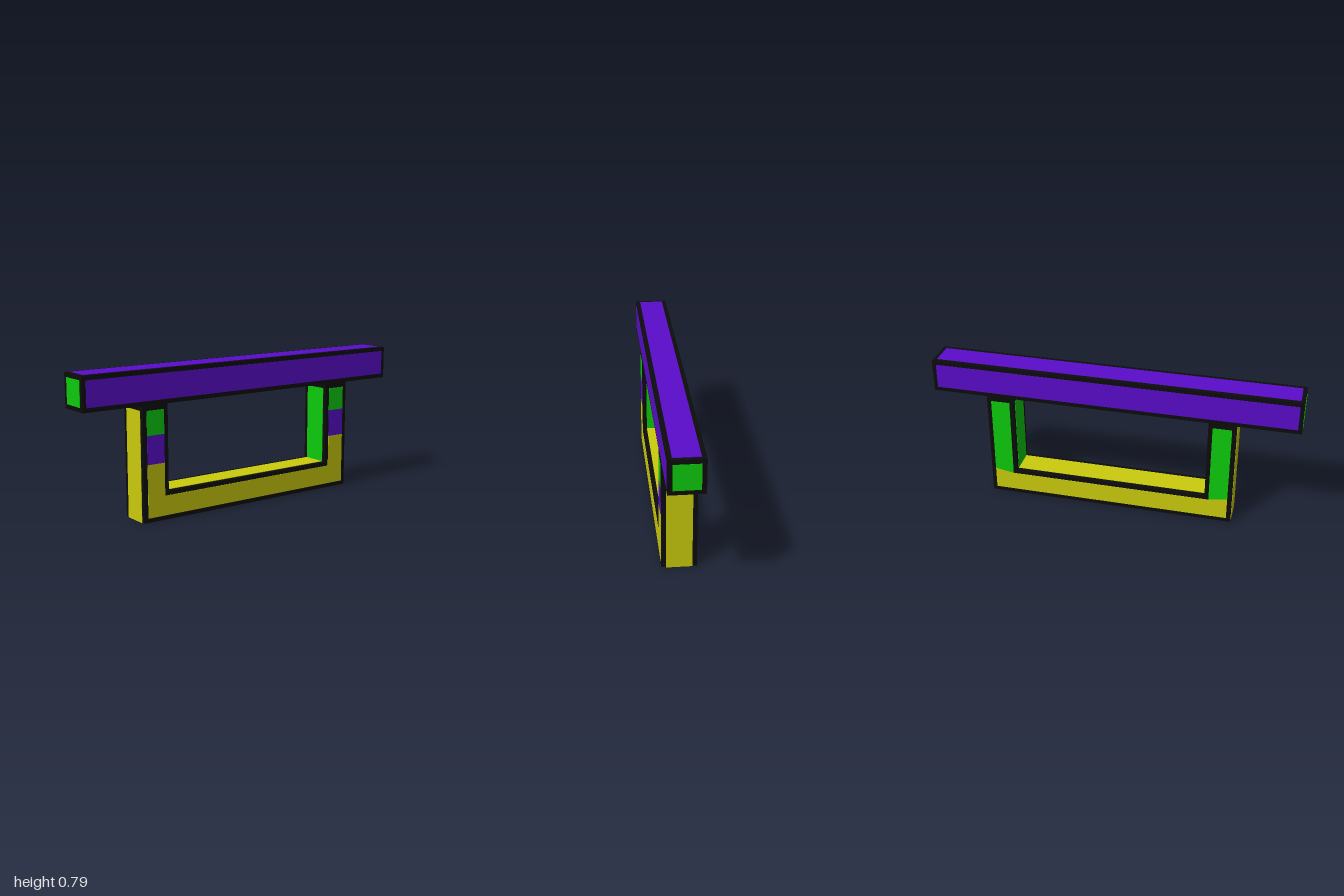
import * as THREE from 'three';

const material = (name, color) => new THREE.MeshStandardMaterial({ name, color });

export function createModel() {
  const purple = material('purple', 0x5a0ccb);
  const green = material('green', 0x0dcb0d);
  const yellow = material('yellow', 0xcbcb0d);
  const black = material('black', 0x0c0c0c);

  const W = 0.09;       // half width of every bar
  const B = 0.023;      // width of the black edging
  const I = W - B;      // half width of a painted panel
  const T = 0.002;      // thickness of the painted plates
  const y0 = 0.61, y1 = 0.79;                 // beam height range
  const zF = 0.667, zFi = 0.519;              // front leg, outer and inner
  const zR = -0.697, zRi = -0.547;            // rear leg, outer and inner
  const floor = 0.153;                        // top of the lower bar

  const model = new THREE.Group();
  model.name = 'beamOnFrame';
  let group;
  const part = (name) => {
    group = new THREE.Group();
    group.name = name;
    model.add(group);
  };
  const add = (name, geometry, mat) => {
    const mesh = new THREE.Mesh(geometry, mat);
    mesh.name = name;
    group.add(mesh);
  };

  // Box given by its extents
  const box = (name, mat, xa, xb, ya, yb, za, zb) => {
    const g = new THREE.BoxGeometry(xb - xa, yb - ya, zb - za);
    g.translate((xa + xb) / 2, (ya + yb) / 2, (za + zb) / 2);
    add(name, g, mat);
  };

  // Outline in (z, y), extruded along x from xTop towards -x
  const profile = (name, mat, points, xTop, depth) => {
    const shape = new THREE.Shape(points.map(([z, y]) => new THREE.Vector2(z, y)));
    const g = new THREE.ExtrudeGeometry(shape, { depth, bevelEnabled: false });
    g.rotateY(-Math.PI / 2);
    g.translate(xTop, 0, 0);
    add(name, g, mat);
  };
  const rightPlate = (name, mat, points) => profile(name, mat, points, W + T, T);
  const leftPlate = (name, mat, points) => profile(name, mat, points, -W, T);

  // Long top beam with edged panels
  part('beam');
  box('beamBody', black, -W, W, y0, y1, -1 + T, 1 - T);
  box('beamTopPanel', purple, -I, I, y1, y1 + T, -1 + B, 1 - B);
  for (const s of [-1, 1]) {
    const x = s > 0 ? W : -W - T;
    box('beamSidePanel', purple, x, x + T, y0 + B, y1 - B, -1 + B, 1 - B);
    const z = s > 0 ? 1 - T : -1;
    box('beamEndPanel', green, -I, I, y0 + B, y1 - B, z, z + T);
  }
  // Underside of the beam
  box('frontUnderPanel', green, -I, I, y0 - T, y0, zF, 1 - B);
  box('rearUnderPanel', green, -I, I, y0 - T, y0, -1 + B, zR);
  box('middleUnderPanel', purple, -I, I, y0 - T, y0, zRi, zFi);
  box('middleUnderPatch', green, -W / 2, W / 2, y0 - 2 * T, y0 - T, -0.225, 0.19);

  // U-shaped frame
  part('frame');
  profile('frameBody', black, [
    [zR, T], [zF, T], [zF, y0], [zFi, y0],
    [zFi, floor], [zRi, floor], [zRi, y0], [zR, y0],
  ], W, 2 * W);

  // Outer, inner, upper and lower faces of the frame
  const top = y0 - 0.027;
  box('frontOuterPanel', yellow, -I, I, 0, top, zF, zF + T);
  box('rearOuterPanel', yellow, -I, I, 0, top, zR - T, zR);
  box('frontInnerPanel', green, -I, I, floor, top, zFi - T, zFi);
  box('rearInnerPanel', green, -I, I, floor, top, zRi, zRi + T);
  box('floorPanel', yellow, -I, I, floor, floor + T, zRi, zFi);
  box('bottomPanel', yellow, -I, I, 0, T, zR, zF);

  // Painted bands on the frame's sides, inside the black edging
  const a = zF - B, ai = zFi + B, b = zR + B, bi = zRi - B;
  const low = B + 0.002, bar = floor - B;
  const band = (z1, z2, ya, yb) => [[z1, ya], [z2, ya], [z2, yb], [z1, yb]];
  const uShape = (outer, inner) => [
    [b, low], [a, low], [a, outer], [ai, inner],
    [ai, bar], [bi, bar], [bi, inner], [b, outer],
  ];
  rightPlate('rightFramePanel', yellow, uShape(0.305, 0.305));
  leftPlate('leftFramePanel', yellow, uShape(0.149, bar + 0.001));
  for (const [outer, inner] of [[a, ai], [b, bi]]) {
    const lo = Math.min(outer, inner), hi = Math.max(outer, inner);
    rightPlate('legPurpleBand', purple, band(lo, hi, 0.305, 0.455));
    rightPlate('legGreenBand', green, band(lo, hi, 0.455, top));
    leftPlate('legLeftPanel', green, [[outer, 0.149], [inner, bar + 0.001], [inner, top], [outer, top]]);
  }

  return model;
}
